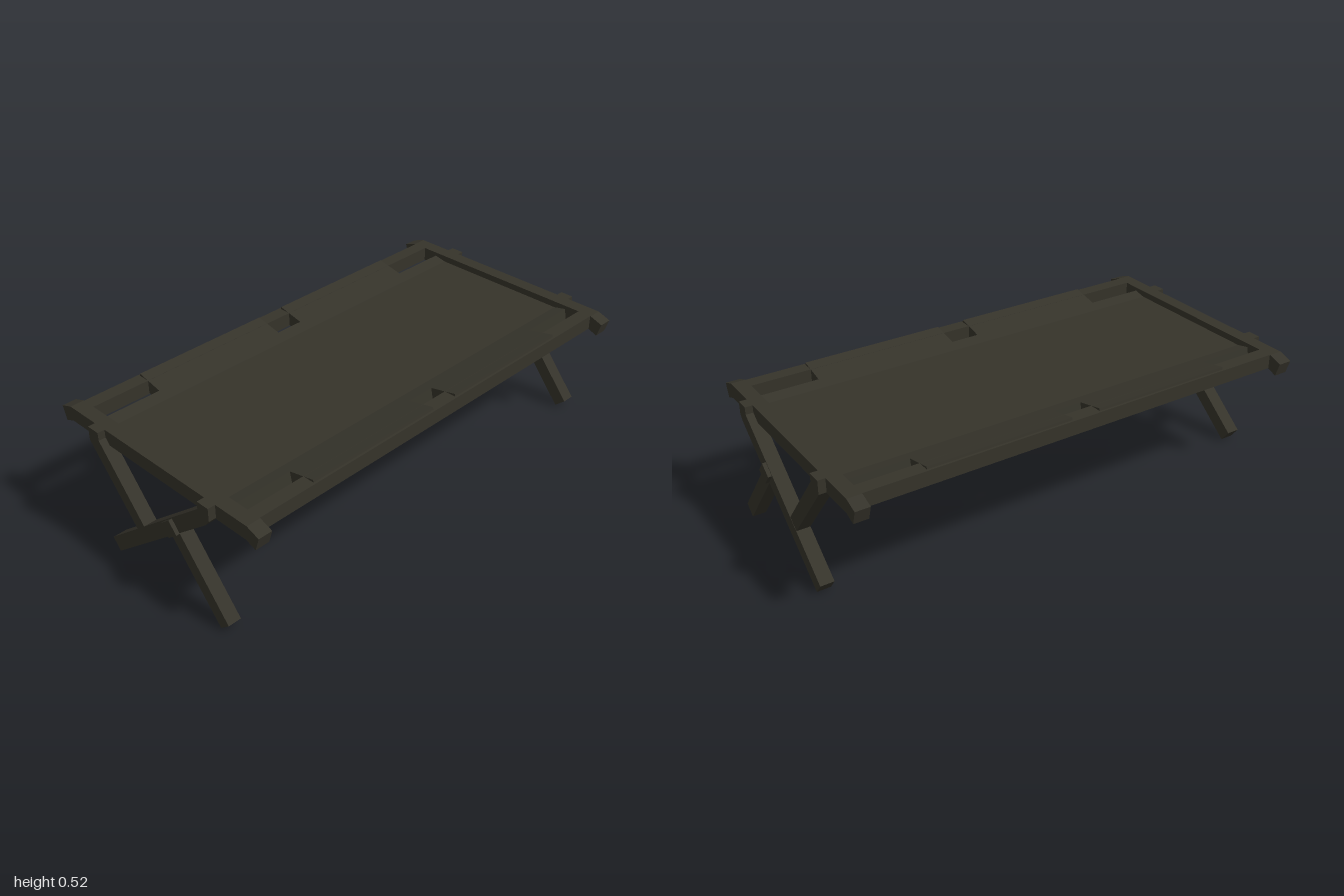
import * as THREE from 'three';

// Extrudes an outline drawn in x/y between two z positions
function slab(name, points, z0, z1, material) {
  const shape = new THREE.Shape(points.map(([x, y]) => new THREE.Vector2(x, y)));
  const geometry = new THREE.ExtrudeGeometry(shape, { depth: z1 - z0, bevelEnabled: false });
  geometry.translate(0, 0, z0);
  const mesh = new THREE.Mesh(geometry, material);
  mesh.name = name;
  return mesh;
}

// Completes a symmetric outline from its right half
const mirrored = (half) => [...half, ...half.map(([x, y]) => [-x, y]).reverse()];

export function createModel() {
  const group = new THREE.Group();
  group.name = 'foldingCot';
  const olive = new THREE.MeshStandardMaterial({ color: 0x35332a });
  olive.name = 'dark olive';

  // Sagging bed sheet with a shallow rise towards each side
  const sheet = mirrored([[0.31, 0.433], [0.363, 0.4446], [0.352, 0.4964], [0.3, 0.485]]);
  group.add(slab('bedSheet', sheet, -0.9, 0.9, olive));

  for (const side of [1, -1]) {
    // Flaps continuing the sheet over the side rails
    const flap = [[0.363, 0.4446], [0.474, 0.469], [0.464, 0.521], [0.352, 0.4964]]
      .map(([x, y]) => [x * side, y]);
    group.add(slab('sheetFlap', flap, 0.06, 0.655, olive));
    group.add(slab('sheetFlap', flap, -0.655, -0.06, olive));

    // Long side rail
    const rail = new THREE.Mesh(new THREE.BoxGeometry(0.058, 0.058, 1.8), olive);
    rail.name = 'sideRail';
    rail.position.set(side * 0.446, 0.482, 0);
    group.add(rail);
  }

  const endBar = mirrored([[0.47, 0.453], [0.514, 0.436], [0.532, 0.491], [0.477, 0.511]]);
  const longLeg = [
    [-0.23, 0], [0.305, 0.433], [0.325, 0.458], [0.325, 0.511],
    [0.27, 0.511], [0.27, 0.481], [-0.266, 0.046],
  ];
  const upperLeg = [
    [-0.328, 0.511], [-0.328, 0.456], [-0.308, 0.432], [-0.097, 0.181],
    [-0.054, 0.217], [-0.271, 0.478], [-0.271, 0.511],
  ];
  const lowerLeg = [[0.34, 0], [0.383, 0.037], [0.154, 0.312], [0.11, 0.275]];

  for (const end of [1, -1]) {
    const span = (a, b) => (end > 0 ? [a, b] : [-b, -a]);
    group.add(slab('endBar', endBar, ...span(0.898, 0.955), olive));

    // Crossed legs: one long strut and two short struts butted against it
    const legs = new THREE.Group();
    legs.name = end > 0 ? 'frontLegs' : 'backLegs';
    legs.add(slab('longLeg', longLeg, ...span(0.93, 0.985), olive));
    legs.add(slab('upperLeg', upperLeg, ...span(0.93, 0.984), olive));
    legs.add(slab('lowerLeg', lowerLeg, ...span(0.93, 0.984), olive));

    // Square joint block
    const joint = new THREE.Mesh(new THREE.BoxGeometry(0.058, 0.058, 0.06), olive);
    joint.name = 'jointBlock';
    joint.position.set(0.117, 0.315, end * 0.97);
    joint.rotation.z = 0.68;
    legs.add(joint);
    group.add(legs);
  }
  return group;
}
